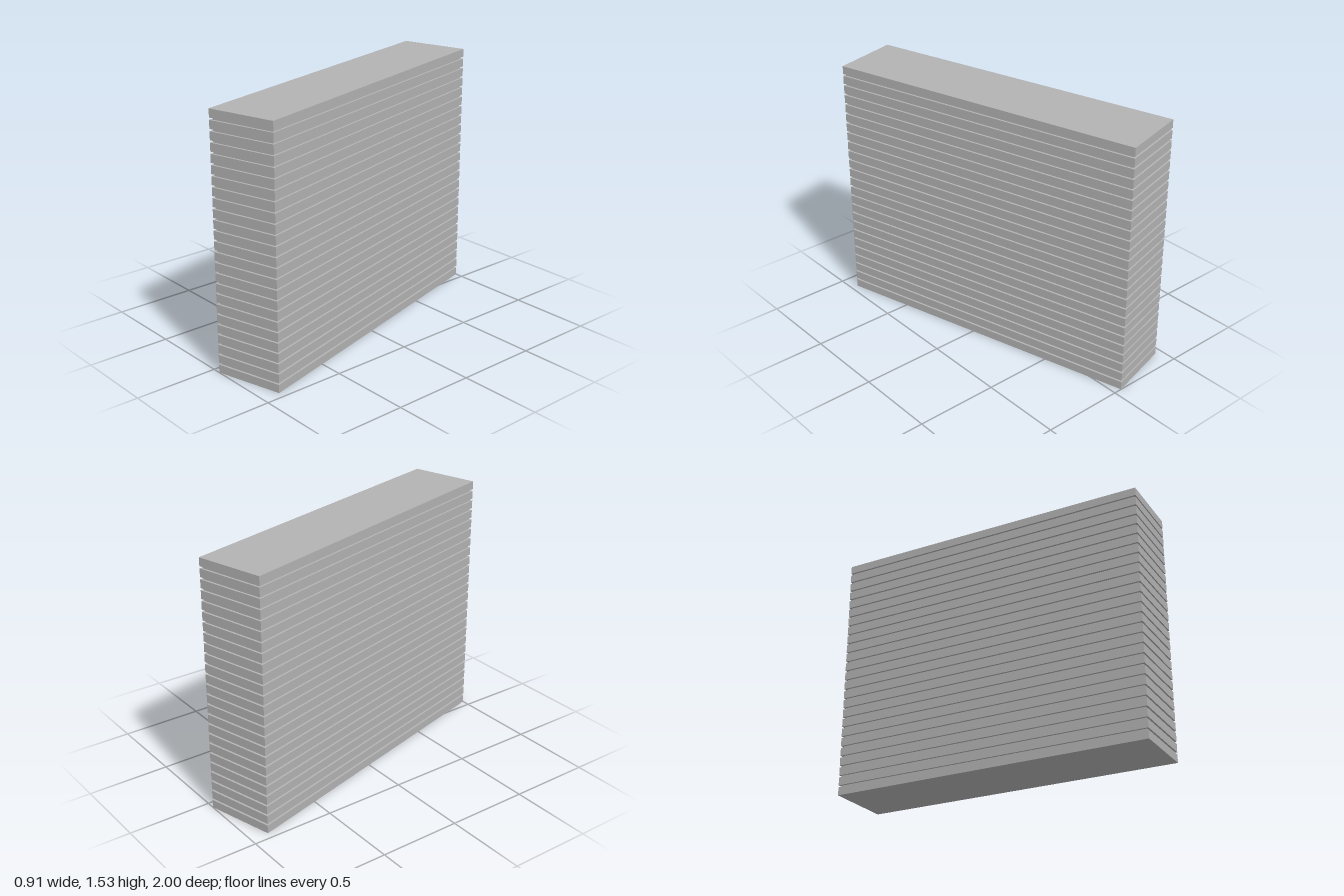
import * as THREE from 'three';

export function createModel() {
  const model = new THREE.Group();
  model.name = 'slabStack';
  const grey = new THREE.MeshStandardMaterial({ color: 0xb2b2b2 });
  grey.name = 'grey';

  const count = 25, width = 0.42, depth = 1.957;
  const slabHeight = 0.0495, gap = 0.0123, inset = 0.0124;
  const pitch = slabHeight + gap;

  const slabGeometry = new THREE.BoxGeometry(width, slabHeight, depth);
  const spacerGeometry = new THREE.BoxGeometry(width - 2 * inset, gap, depth - 2 * inset);

  const add = (geometry, name, y) => {
    const mesh = new THREE.Mesh(geometry, grey);
    mesh.name = name;
    mesh.position.y = y;
    model.add(mesh);
  };

  // Slabs separated by thin recessed spacers
  for (let i = 0; i < count; i++) {
    add(slabGeometry, `slab${i + 1}`, i * pitch + slabHeight / 2);
    if (i < count - 1) add(spacerGeometry, `spacer${i + 1}`, i * pitch + slabHeight + gap / 2);
  }

  // The whole stack stands turned by 15 degrees
  model.rotation.y = THREE.MathUtils.degToRad(15);
  return model;
}
